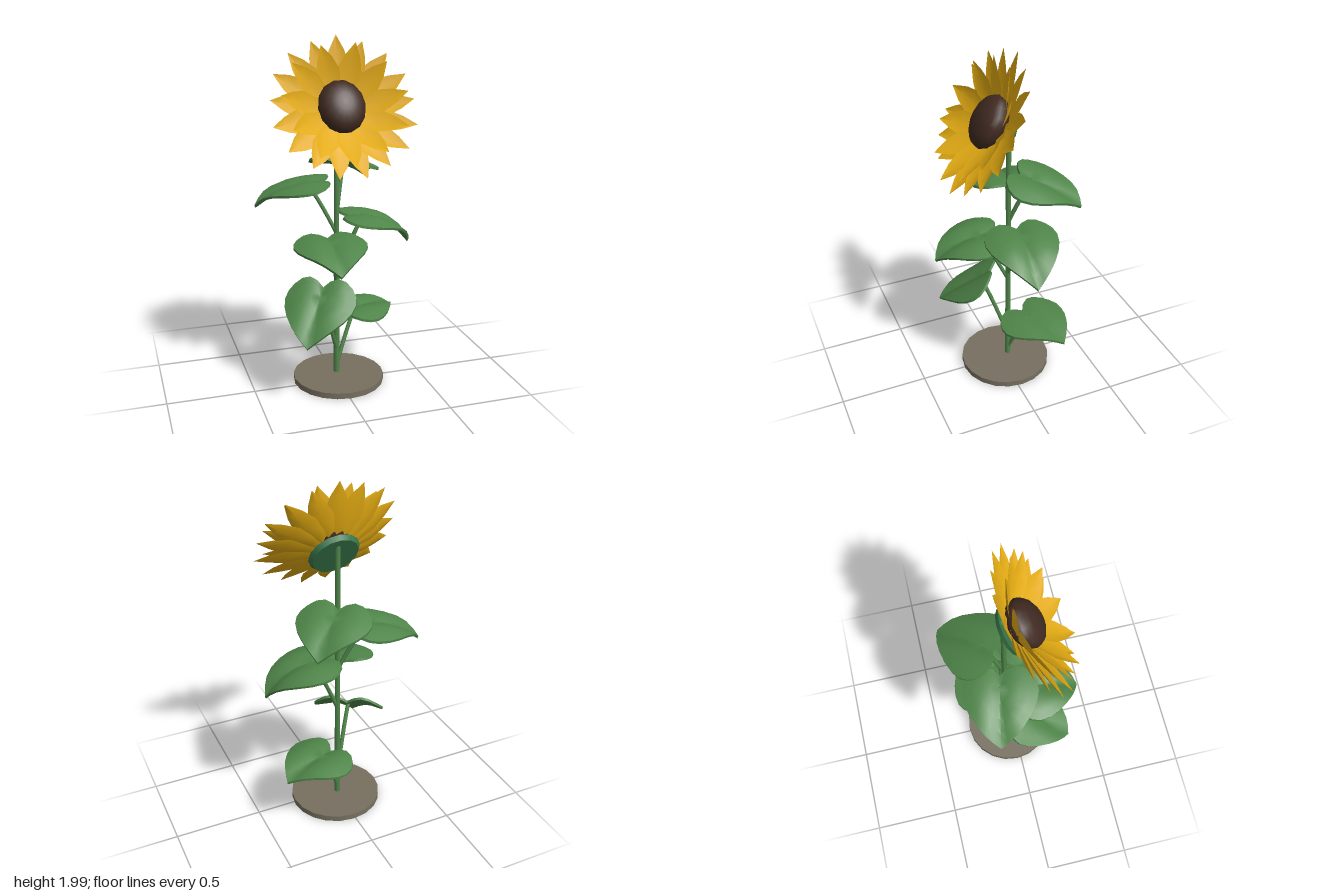
import * as THREE from 'three';
import { toCreasedNormals } from 'three/addons/utils/BufferGeometryUtils.js';

const V = (x, y, z) => new THREE.Vector3(x, y, z);
const mat = (name, color, side = THREE.FrontSide) => {
  const m = new THREE.MeshStandardMaterial({ color, side });
  m.name = name;
  return m;
};

// Half outline of a heart-shaped leaf: (sideways, along), notch to tip
const HALF = new THREE.SplineCurve([[0, -0.075], [0.06, -0.122], [0.13, -0.115], [0.188, -0.06], [0.207, 0.01],
  [0.182, 0.09], [0.12, 0.175], [0.06, 0.235], [0, 0.28]].map(([x, y]) => new THREE.Vector2(x, y)))
  .getPoints(12).map((q) => [q.x, q.y]);
const OUTLINE = [...HALF, ...HALF.slice(1, -1).reverse().map(([p, a]) => [-p, a])];

// Thick leaf running from its stalk joint to its tip, arched along and humped on both sides of the midrib
function leafGeometry(joint, tip, arch) {
  const dir = tip.clone().sub(joint);
  const length = dir.length();
  dir.normalize();
  const side = dir.clone().cross(V(0, 1, 0)).normalize();
  const up = side.clone().cross(dir);
  const point = (p, a, drop) => {
    const along = a > 0 ? a * length / 0.28 : a;
    const u = along / length;
    const h = 4 * arch * u * (1 - u) + 0.022 * Math.sin(Math.PI * Math.abs(p) / 0.17) - drop;
    return joint.clone().addScaledVector(side, p).addScaledVector(dir, along).addScaledVector(up, h);
  };
  const pos = [];
  const tri = (...pts) => pts.forEach((q) => pos.push(q.x, q.y, q.z));
  const quad = (a, b, c, d) => { tri(a, b, c); tri(a, c, d); };
  const n = OUTLINE.length, thick = 0.014;
  const ring = (s, i, drop) => point(OUTLINE[i % n][0] * s, OUTLINE[i % n][1] * s, drop);
  for (let i = 0; i < n; i++) {
    const j = i + 1;
    let inner = 0;
    for (const s of [0.25, 0.5, 0.75, 1]) {
      if (inner === 0) {
        tri(point(0, 0, 0), ring(s, i, 0), ring(s, j, 0));
        tri(point(0, 0, thick), ring(s, j, thick), ring(s, i, thick));
      } else {
        quad(ring(inner, i, 0), ring(s, i, 0), ring(s, j, 0), ring(inner, j, 0));
        quad(ring(inner, j, thick), ring(s, j, thick), ring(s, i, thick), ring(inner, i, thick));
      }
      inner = s;
    }
    quad(ring(1, i, thick), ring(1, j, thick), ring(1, j, 0), ring(1, i, 0));
  }
  const g = new THREE.BufferGeometry();
  g.setAttribute('position', new THREE.Float32BufferAttribute(pos, 3));
  return toCreasedNormals(g, 0.8);
}

// Pointed petal, cupped along its length, folded along its middle and rolled a little to overlap its neighbour
function petalGeometry(length, lift) {
  const rows = [[0.05, 0.022, 0.022], [0.15, 0.05, 0.04], [0.25, 0.066, 0.071],
    [0.33, 0.042, 0.103], [0.41, 0.001, 0.137]]; // radius, half width, height
  const g = new THREE.PlaneGeometry(2, 1, 2, rows.length - 1);
  const p = g.attributes.position;
  for (let i = 0; i < p.count; i++) {
    const x = p.getX(i);
    const [r, w, h] = rows[Math.round((p.getY(i) + 0.5) * (rows.length - 1))];
    p.setXYZ(i, x * w, h + lift * r / 0.41 + (Math.abs(x) * 0.3 + x * 0.15) * w, -r * length / 0.41);
  }
  g.computeVertexNormals();
  return g;
}

export function createModel() {
  const root = new THREE.Group();
  root.name = 'sunflower';
  const green = mat('leaf green', 0x4f8549);
  const sepalGreen = mat('sepal green', 0x38784b);
  const yellow = mat('petal yellow', 0xe2aa12, THREE.DoubleSide);
  const brown = mat('seed brown', 0x402a21);
  const earth = mat('base grey brown', 0x777060);

  const add = (parent, name, geometry, material) => {
    const m = new THREE.Mesh(geometry, material);
    m.name = name;
    parent.add(m);
    return m;
  };

  // Base and stem
  add(root, 'base', new THREE.CylinderGeometry(0.265, 0.265, 0.034, 20), earth).position.set(0.01, 0.02, -0.025);
  add(root, 'stem', new THREE.CylinderGeometry(0.014, 0.018, 1.66, 8), green).position.set(0.005, 0.86, -0.046);

  // Leaves: height on the stem, stalk joint, tip, arch
  const leaves = [
    [0.08, V(0.15, 0.4, -0.135), V(0.4, 0.36, -0.23), 0.01],
    [0.18, V(-0.13, 0.565, 0.085), V(-0.265, 0.37, 0.297), 0],
    [0.6, V(-0.075, 0.895, 0.11), V(-0.09, 0.785, 0.365), 0.02],
    [0.64, V(0.17, 0.99, -0.055), V(0.44, 0.825, -0.035), 0.035],
    [0.9, V(-0.155, 1.19, -0.105), V(-0.44, 1.065, -0.165), 0.022],
    [1.0, V(0.08, 1.285, -0.16), V(0.265, 1.17, -0.362), 0.01],
  ];
  leaves.forEach(([y, joint, tip, arch]) => {
    const group = new THREE.Group();
    group.name = 'leafWithStalk';
    root.add(group);
    const start = V(0.005, y, -0.046);
    const bend = start.clone().lerp(joint, 0.68);
    bend.y = y + (joint.y - y) * 0.8;
    const path = new THREE.QuadraticBezierCurve3(start, bend, joint);
    add(group, 'stalk', new THREE.TubeGeometry(path, 6, 0.012, 6), green);
    add(group, 'leaf', leafGeometry(joint, tip, arch), green);
  });

  // Flower head, tilted up from facing forward
  const head = new THREE.Group();
  head.name = 'flowerHead';
  head.position.set(0.002, 1.575, -0.005);
  head.rotation.x = Math.PI / 3;
  root.add(head);
  add(head, 'sepalDisc', new THREE.CylinderGeometry(0.146, 0.13, 0.026, 14), sepalGreen);
  const seeds = add(head, 'seedDome', new THREE.SphereGeometry(1, 14, 10), brown);
  seeds.scale.set(0.131, 0.082, 0.15);
  seeds.position.set(0, 0.09, -0.016);

  // A full ring of long petals behind a ring of shorter, more upright ones
  const petalRing = (name, count, length, lift, offset) => {
    for (let i = 0; i < count; i++) {
      const petal = add(head, name, petalGeometry(length - 0.012 * (i % 3 === 1), lift), yellow);
      petal.rotation.y = -(i + offset) / count * Math.PI * 2;
    }
  };
  petalRing('backPetal', 17, 0.408, 0, 0.08);
  petalRing('frontPetal', 11, 0.35, 0.052, 0.5);
  return root;
}
